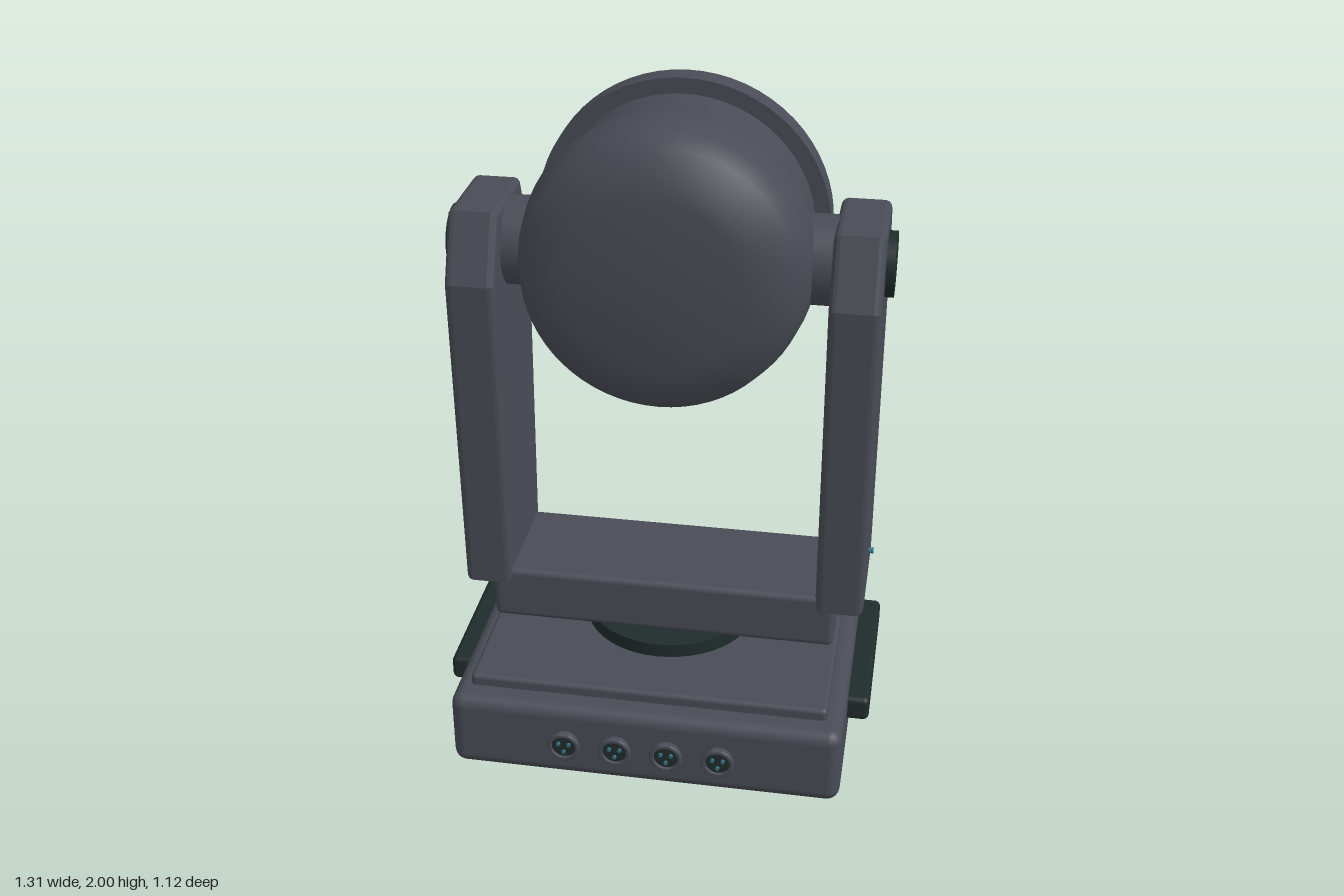
import * as THREE from 'three';
import { toCreasedNormals } from 'three/addons/utils/BufferGeometryUtils.js';
import { RoundedBoxGeometry } from 'three/addons/geometries/RoundedBoxGeometry.js';

const HEAD_Y = 1.56;

function material(name, color) {
  const m = new THREE.MeshStandardMaterial({ color });
  m.name = name;
  return m;
}

export function createModel() {
  const root = new THREE.Group();
  root.name = 'movingHeadLight';
  const body = material('charcoal', 0x494c56);
  const dark = material('darkRubber', 0x202b2c);
  const teal = material('tealGlass', 0x327282);

  function add(name, geometry, mat, x = 0, y = 0, z = 0, parent = root) {
    const mesh = new THREE.Mesh(geometry, mat);
    mesh.name = name;
    mesh.position.set(x, y, z);
    parent.add(mesh);
    return mesh;
  }
  const box = (w, h, d, r) => new RoundedBoxGeometry(w, h, d, 3, r);
  const cylY = (r, h, n = 32) => new THREE.CylinderGeometry(r, r, h, n);
  const cylX = (r, h, n = 32) => cylY(r, h, n).rotateZ(Math.PI / 2);
  const cylZ = (r, h, n = 32) => cylY(r, h, n).rotateX(Math.PI / 2);
  // Profile of [radius, z] pairs turned about the z axis, z rising
  const latheZ = (pts, n) =>
    new THREE.LatheGeometry(pts.map(p => new THREE.Vector2(...p)), n).rotateX(Math.PI / 2);

  // Base housing, top plate and feet
  add('baseHousing', box(1.18, 0.25, 1.05, 0.04), body, 0, 0.16, 0);
  add('baseTopPlate', box(1.08, 0.06, 0.9, 0.015), body, 0, 0.29, 0);
  for (const x of [-0.45, 0.45])
    for (const z of [-0.36, 0.36])
      add('foot', cylY(0.055, 0.05, 24), dark, x, 0.025, z);

  // Carry handles on both sides
  for (const s of [-1, 1])
    add('carryHandle', box(0.085, 0.08, 0.55, 0.018), dark, s * 0.6125, 0.2, 0);

  // Round sockets along the front
  const collar = toCreasedNormals(latheZ([
    [0.041, 0], [0.041, 0.018], [0.05, 0.021], [0.05, 0.028],
    [0.046, 0.032], [0.038, 0.032], [0.036, 0.02],
  ], 32), 0.6);
  for (let i = 0; i < 4; i++) {
    const socket = new THREE.Group();
    socket.name = 'socket';
    socket.position.set(-0.235 + i * 0.155, 0.165, 0.523);
    add('socketCollar', collar, body, 0, 0, 0, socket);
    add('socketInsert', cylZ(0.038, 0.022, 24), dark, 0, 0, 0.012, socket);
    for (let k = 0; k < 3; k++) {
      const a = Math.PI / 6 + k * Math.PI * 2 / 3;
      add('socketPin', cylZ(0.006, 0.01, 10), teal,
        0.018 * Math.cos(a), 0.018 * Math.sin(a), 0.026, socket);
    }
    root.add(socket);
  }

  // Control panel on the back: plate, screen, buttons
  add('controlPanel', new THREE.BoxGeometry(0.55, 0.18, 0.03), dark, 0, 0.17, -0.53);
  add('screen', new THREE.BoxGeometry(0.23, 0.11, 0.02), teal, -0.09, 0.168, -0.55);
  for (let i = 0; i < 4; i++)
    add('panelButton', cylZ(0.014, 0.02, 16), body, 0.077 + i * 0.044, 0.168, -0.55);

  // Turntable and yoke crossbar
  add('turntable', cylY(0.265, 0.045, 48), dark, 0, 0.342, 0);
  add('yokeCrossbar', box(1.06, 0.175, 0.36, 0.02), body, 0, 0.4425, 0);

  // Yoke arms: tapered side profile, bevelled, with pivots
  const side = new THREE.Shape([
    [-0.188, 0.485], [0.188, 0.485], [0.222, 1.5], [0.14, 1.695], [-0.14, 1.695], [-0.222, 1.5],
  ].map(p => new THREE.Vector2(...p)));
  const armGeometry = new THREE.ExtrudeGeometry(side, {
    depth: 0.105, bevelThickness: 0.02, bevelSize: 0.02, bevelOffset: -0.02, bevelSegments: 3,
  }).translate(0, 0, -0.0525).rotateY(Math.PI / 2);
  for (const s of [-1, 1]) {
    const arm = new THREE.Group();
    arm.name = s > 0 ? 'leftArm' : 'rightArm';
    add('armShell', armGeometry, body, s * 0.5425, 0, 0, arm);
    add('pivotCap', cylX(0.094, 0.04), dark, s * 0.62, HEAD_Y, 0, arm);
    add('pivotStub', cylX(0.13, 0.14, 40), body, s * 0.42, HEAD_Y, 0, arm);
    add('statusLight', cylX(0.009, 0.02, 12), teal, s * 0.62, 0.62, 0.025, arm);
    root.add(arm);
  }

  // Lamp head: barrel shell, rim and bezel, opening toward -z
  const head = new THREE.Group();
  head.name = 'lampHead';
  head.position.y = HEAD_Y;
  root.add(head);
  add('headShell', latheZ([
    [0.395, -0.22], [0.388, -0.155], [0.41, -0.03], [0.424, 0.07],
    [0.413, 0.15], [0.39, 0.228], [0.255, 0.285], [0, 0.285],
  ], 64), body, 0, 0, 0, head);
  add('headRim', cylZ(0.44, 0.078, 64), body, 0, 0, -0.246, head);
  add('headBezel', toCreasedNormals(latheZ([
    [0, -0.288], [0.37, -0.288], [0.372, -0.298], [0.392, -0.298], [0.396, -0.294], [0.396, -0.28],
  ], 64), 0.6), body, 0, 0, 0, head);

  // Lenses: one at the centre and three rings of 6, 12 and 18
  const lens = toCreasedNormals(latheZ([
    [0, 0], [0.036, 0], [0.04, 0.006], [0.04, 0.018], [0.034, 0.025],
    [0.028, 0.018], [0.012, 0.016], [0.01, 0.034], [0, 0.036],
  ], 20), 0.6).rotateY(Math.PI);
  for (let ring = 0; ring < 4; ring++) {
    const count = Math.max(1, ring * 6);
    for (let i = 0; i < count; i++) {
      const a = i / count * Math.PI * 2;
      const r = ring * 0.107;
      add('lens', lens, teal, r * Math.cos(a), r * Math.sin(a), -0.33, head);
    }
  }
  return root;
}
